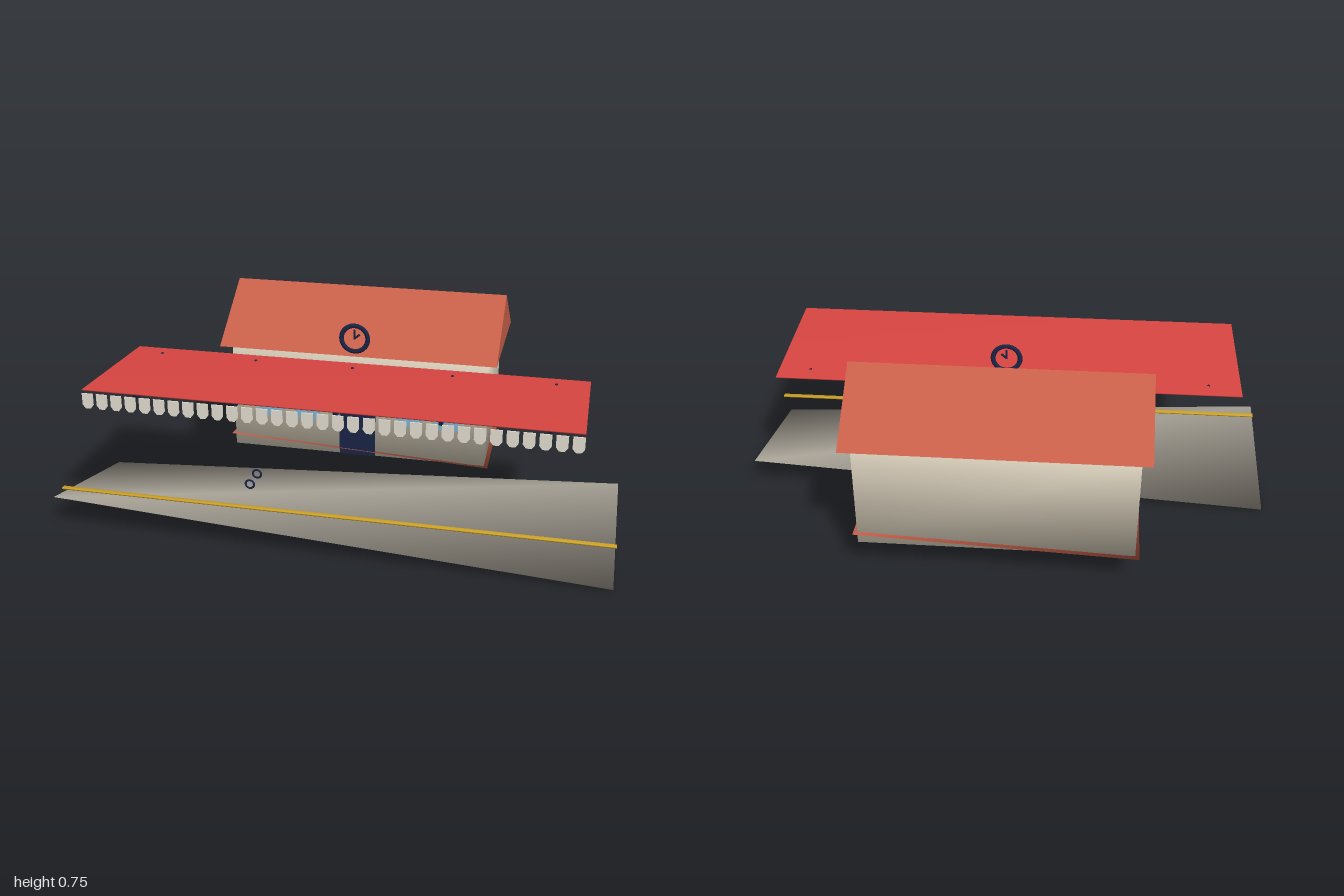
import * as THREE from 'three';
import { mergeVertices } from 'three/addons/utils/BufferGeometryUtils.js';

const mat = (name, color) => new THREE.MeshStandardMaterial({ name, color });

// Share the corners so that shading runs smoothly over the edges
function soften(geo) {
  geo.deleteAttribute('normal');
  geo.deleteAttribute('uv');
  const merged = mergeVertices(geo);
  merged.computeVertexNormals();
  return merged;
}

// Softly shaded box given by its limits
function block(x0, x1, y0, y1, z0, z1) {
  const geo = new THREE.BoxGeometry(x1 - x0, y1 - y0, z1 - z0);
  geo.translate((x0 + x1) / 2, (y0 + y1) / 2, (z0 + z1) / 2);
  return soften(geo);
}

// Twisted wedge: four alternating corners of a box
function wedge(x, y0, y1, z0, z1) {
  const geo = new THREE.BufferGeometry();
  geo.setAttribute('position', new THREE.Float32BufferAttribute(
    [-x, y1, z1, x, y0, z1, -x, y0, z0, x, y1, z0], 3));
  geo.setIndex([0, 1, 3, 0, 2, 1, 0, 3, 2, 1, 2, 3]);
  geo.computeVertexNormals();
  return geo;
}

export function createModel() {
  const wall = mat('cream wall', 0xdcd2be);
  const stone = mat('platform stone', 0xaaa498);
  const tile = mat('terracotta tile', 0xc8604a);
  const red = mat('canopy red', 0xd84541);
  const trim = mat('pale trim', 0xeee8dc);
  const navy = mat('navy iron', 0x1a2547);
  const gold = mat('safety yellow', 0xd0a428);
  const glass = mat('window glass', 0x86b8d4);

  const root = new THREE.Group();
  root.name = 'station';
  const add = (name, geo, material, parent = root) => {
    const mesh = new THREE.Mesh(geo, material);
    mesh.name = name;
    parent.add(mesh);
    return mesh;
  };

  // Platform and its edge line
  add('platform', wedge(1, 0, 0.12, -0.02, 0.54), stone);
  add('platformLine', block(-1, 1, 0.12, 0.125, 0.455, 0.475), gold);

  // Building
  add('walls', block(-0.495, 0.495, 0.127, 0.548, -0.49, -0.047), wall);
  add('plinth', wedge(0.51, 0.123, 0.172, -0.506, -0.036), tile);

  // Gabled roof, a prism along x
  const gable = new THREE.Shape([
    new THREE.Vector2(0, 0.55), new THREE.Vector2(0.54, 0.55), new THREE.Vector2(0.268, 0.745)]);
  const roof = new THREE.ExtrudeGeometry(gable, { depth: 1.06, bevelEnabled: false });
  roof.rotateY(Math.PI / 2).translate(-0.53, 0, 0);
  add('roof', roof, tile);

  // Door and windows
  add('door', block(-0.07, 0.07, 0.127, 0.4, -0.049, -0.041), navy);
  for (const x of [-0.35, -0.2, 0.2, 0.35]) {
    add('window', block(x - 0.05, x + 0.05, 0.262, 0.41, -0.049, -0.042), glass);
  }

  // Canopy, rising slightly to the front
  const canopy = add('canopy', block(-0.87, 0.87, -0.002, 0.002, -0.26, 0.26), red);
  canopy.position.set(0, 0.524, 0.238);
  canopy.rotation.x = -0.038;

  // Valance of pointed boards
  const board = new THREE.Shape([
    new THREE.Vector2(-0.02, 0.056), new THREE.Vector2(-0.02, 0.014), new THREE.Vector2(-0.009, 0),
    new THREE.Vector2(0.009, 0), new THREE.Vector2(0.02, 0.014), new THREE.Vector2(0.02, 0.056)]);
  const boardGeo = new THREE.ExtrudeGeometry(board, { depth: 0.005, bevelEnabled: false });
  const valance = new THREE.Group();
  valance.name = 'valance';
  root.add(valance);
  const count = 33;
  for (let i = 0; i < count; i++) {
    const b = add('valanceBoard', boardGeo, trim, valance);
    b.position.set(-0.85 + 1.7 * i / (count - 1), 0.466, 0.495);
  }

  // Iron brackets under the canopy, each with a round boss
  const bar = (parent, z0, y0, z1, y1) => {
    const dz = z1 - z0, dy = y1 - y0;
    const m = add('bracketBar',
      new THREE.CylinderGeometry(0.006, 0.006, Math.hypot(dz, dy), 8), navy, parent);
    m.position.set(0, (y0 + y1) / 2, (z0 + z1) / 2);
    m.rotation.x = Math.atan2(dz, dy);
  };
  for (let i = -2; i <= 2; i++) {
    const bracket = new THREE.Group();
    bracket.name = 'bracket';
    bracket.position.x = i * 0.375;
    bar(bracket, 0.44, 0.517, 0.213, 0.436);
    bar(bracket, 0.213, 0.436, 0.038, 0.518);
    const boss = add('bracketBoss', new THREE.CylinderGeometry(0.033, 0.033, 0.012, 16), navy, bracket);
    boss.rotation.z = Math.PI / 2;
    boss.position.set(0, 0.468, 0.3);
    root.add(bracket);
  }

  // Open clock with two hands
  const clock = new THREE.Group();
  clock.name = 'clock';
  clock.position.set(0, 0.623, 0.005);
  add('clockRing', new THREE.TorusGeometry(0.05, 0.009, 8, 28), navy, clock).scale.z = 0.65;
  add('minuteHand', new THREE.BoxGeometry(0.007, 0.036, 0.005), navy, clock).position.y = 0.016;
  const hour = add('hourHand', new THREE.BoxGeometry(0.007, 0.026, 0.005), navy, clock);
  hour.position.set(0.009, 0.008, 0);
  hour.rotation.z = -0.85;
  root.add(clock);

  // Two small rings standing above the platform
  for (const z of [0.333, 0.245]) {
    add('benchRing', new THREE.TorusGeometry(0.016, 0.004, 6, 18), navy).position.set(-0.32, 0.146, z);
  }
  return root;
}
